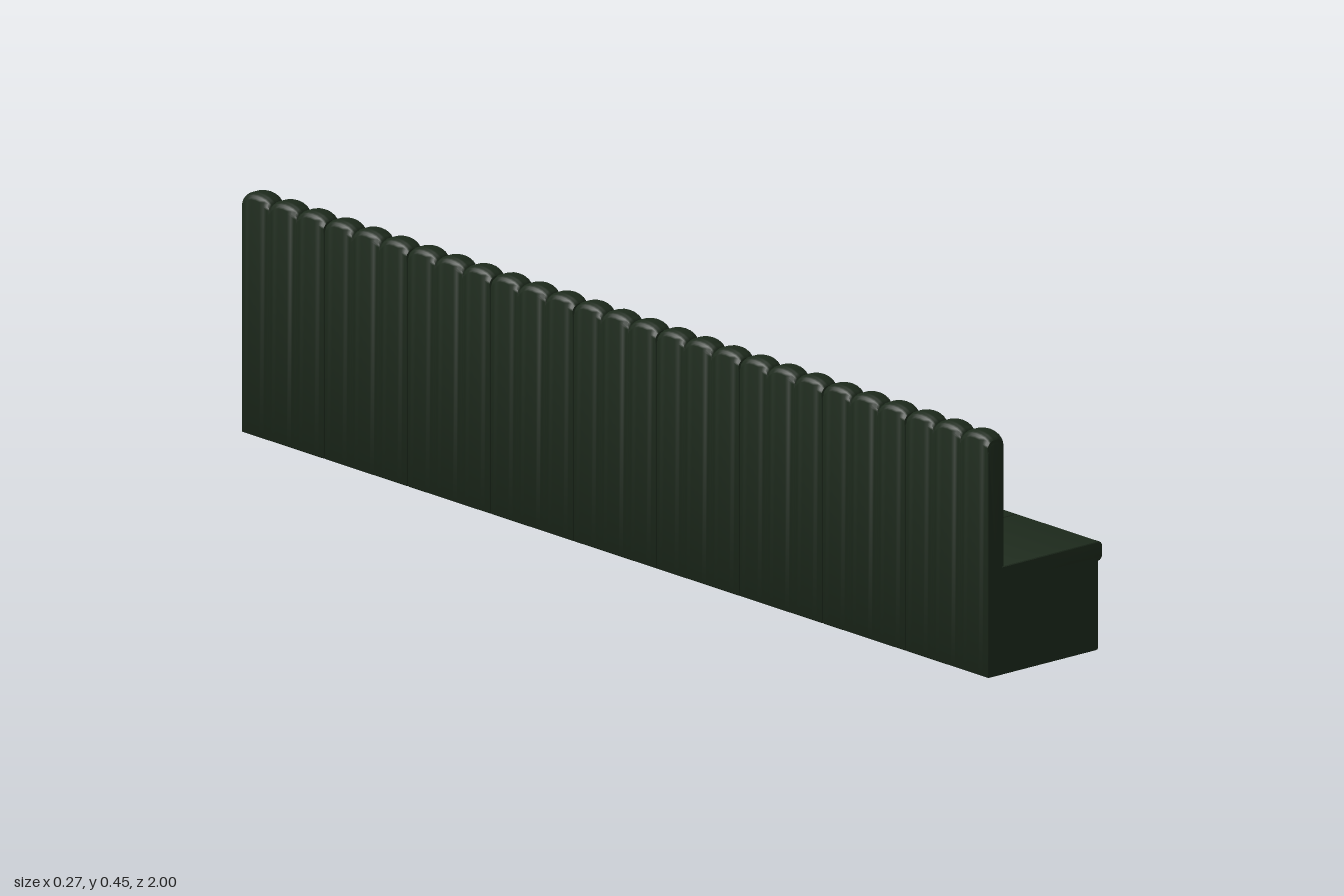
import * as THREE from 'three';
import { toCreasedNormals } from 'three/addons/utils/BufferGeometryUtils.js';

const MODULES = 9, FLUTES = 3, STEPS = 10;
const LENGTH = 2 / MODULES;
const GAP = 0.0006;   // half the joint between modules
const EDGE = 0.003;   // softened edge at the module ends

// Counter-clockwise rectangle with a radius per corner: [bottom back, bottom front, top front, top back]
function roundedProfile(x0, x1, y0, y1, radii) {
  const corners = [[x0, y0, 1, 1], [x1, y0, -1, 1], [x1, y1, -1, -1], [x0, y1, 1, -1]];
  const points = [];
  corners.forEach(([x, y, sx, sy], k) => {
    const r = radii[k];
    for (let i = 0; i <= 6; i++) {
      const a = Math.PI + (k + i / 6) * Math.PI / 2;
      points.push([x + sx * r + r * Math.cos(a), y + sy * r + r * Math.sin(a)]);
    }
  });
  return points;
}

// Skin a series of { z, points } sections and close both ends
function loft(sections) {
  const pos = [];
  const n = sections[0].points.length;
  const at = (s, j) => [...s.points[j % n], s.z];
  const middle = s => [
    s.points.reduce((t, p) => t + p[0], 0) / n,
    s.points.reduce((t, p) => t + p[1], 0) / n, s.z];
  for (let i = 0; i < sections.length - 1; i++) {
    const s = sections[i], t = sections[i + 1];
    for (let j = 0; j < n; j++) {
      pos.push(...at(s, j), ...at(s, j + 1), ...at(t, j));
      pos.push(...at(s, j + 1), ...at(t, j + 1), ...at(t, j));
    }
  }
  const first = sections[0], last = sections[sections.length - 1];
  for (let j = 0; j < n; j++) {
    pos.push(...middle(first), ...at(first, j + 1), ...at(first, j));
    pos.push(...middle(last), ...at(last, j), ...at(last, j + 1));
  }
  const geometry = new THREE.BufferGeometry();
  geometry.setAttribute('position', new THREE.Float32BufferAttribute(pos, 3));
  return toCreasedNormals(geometry, 0.7);
}

// One module of upholstery: profile(bulge, inset), bulge runs 0..1..0 over each flute
function upholstery(profile, flutes) {
  const half = LENGTH / 2 - GAP;
  const sections = [{ z: -half, points: profile(0, EDGE) }];
  const width = 2 * half / flutes;
  for (let f = 0; f < flutes; f++) {
    for (let i = f ? 1 : 0; i <= STEPS; i++) {
      const u = -Math.cos(Math.PI * i / STEPS);
      let z = -half + width * (f + (u + 1) / 2);
      z = THREE.MathUtils.clamp(z, -half + EDGE * 0.5, half - EDGE * 0.5);
      if (z - sections[sections.length - 1].z < 1e-5) continue;
      sections.push({ z, points: profile(Math.sqrt(Math.max(0, 1 - u * u)), 0) });
    }
  }
  sections.push({ z: half, points: profile(0, EDGE) });
  return loft(sections);
}

export function createModel() {
  const group = new THREE.Group();
  group.name = 'banquetteBench';
  const material = new THREE.MeshStandardMaterial({ color: 0x1d2a1c });

  const parts = {
    // Tall back with vertical channels, flat behind, domed on top
    backrest: upholstery((b, e) => roundedProfile(
      -0.136 + e * 0.4, -0.101 + 0.011 * b - e * 0.4, e * 0.4, 0.434 + 0.016 * b - e,
      [0.003, 0.003, 0.016, 0.016]), FLUTES),
    // Plinth with a channelled front
    base: upholstery((b, e) => roundedProfile(
      -0.115, 0.124 + 0.01 * b - e * 0.4, e * 0.4, 0.172,
      [0.003, 0.005, 0.003, 0.003]), FLUTES),
    // Smooth seat pad slightly overhanging the plinth
    seat: upholstery((b, e) => roundedProfile(
      -0.105, 0.136 - e * 0.5, 0.165 + e * 0.5, 0.201 - e * 0.5,
      [0.008, 0.01, 0.01, 0.004]), 1),
  };

  for (let m = 0; m < MODULES; m++) {
    const unit = new THREE.Group();
    unit.name = `benchModule${m + 1}`;
    unit.position.z = (m - (MODULES - 1) / 2) * LENGTH;
    for (const [name, geometry] of Object.entries(parts)) {
      const mesh = new THREE.Mesh(geometry, material);
      mesh.name = name;
      unit.add(mesh);
    }
    group.add(unit);
  }
  return group;
}
